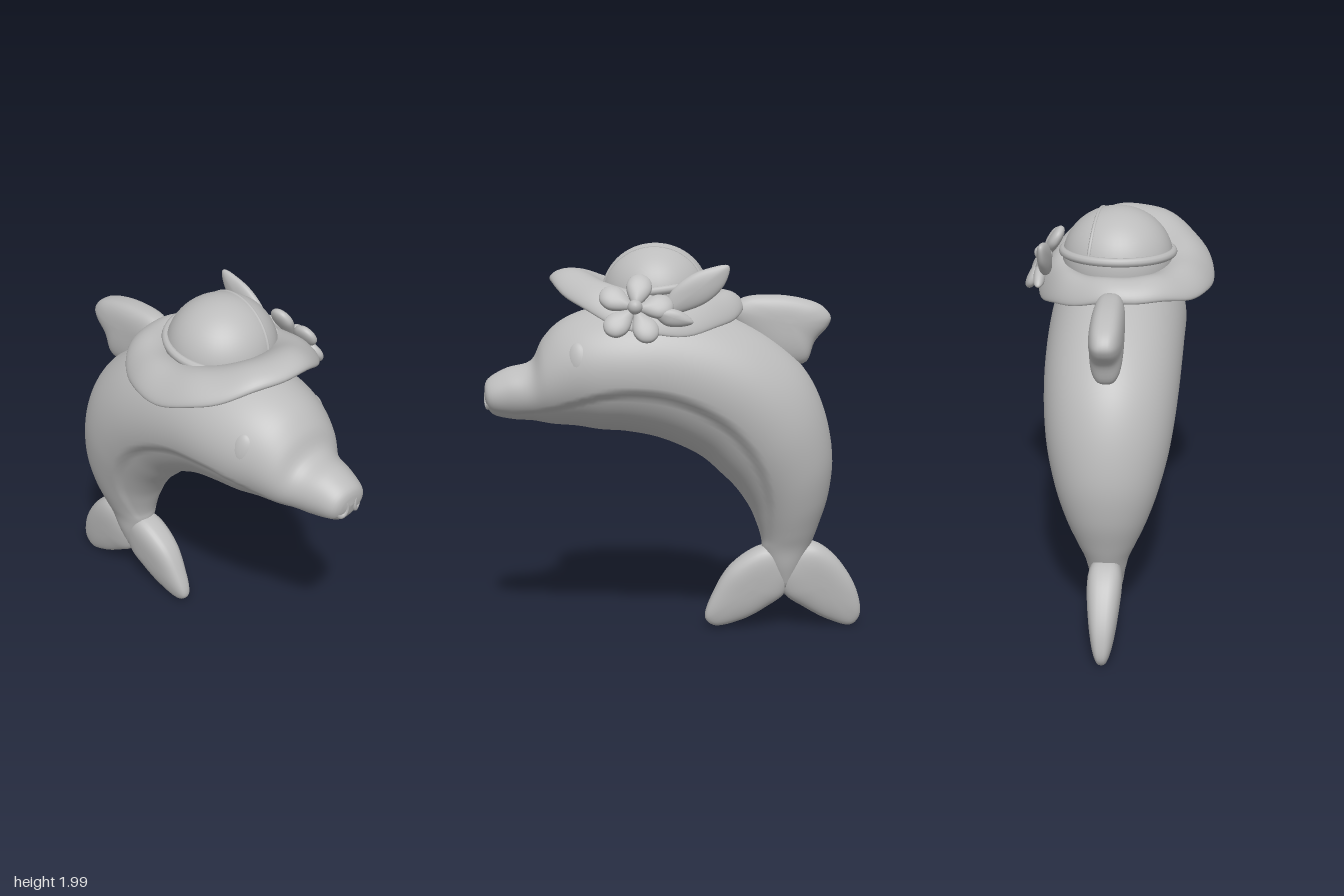
import * as THREE from 'three';

const V = (x, y, z) => new THREE.Vector3(x, y, z);
const skin = new THREE.MeshStandardMaterial({ color: 0xbcbcbc });
skin.name = 'plain grey';

// Smooth closed surface from rings of points; faces are turned outward by its volume
function rings(rows, cols, point, closeRows = false) {
  const pos = [], idx = [];
  for (let i = 0; i < rows; i++)
    for (let j = 0; j < cols; j++) pos.push(...point(i / (closeRows ? rows : rows - 1), j / cols).toArray());
  const last = closeRows ? rows : rows - 1;
  for (let i = 0; i < last; i++)
    for (let j = 0; j < cols; j++) {
      const k = (j + 1) % cols, n = (i + 1) % rows;
      const a = i * cols + j, b = i * cols + k, c = n * cols + j, d = n * cols + k;
      idx.push(a, b, c, b, d, c);
    }
  let volume = 0;
  const p = (i) => V(pos[3 * i], pos[3 * i + 1], pos[3 * i + 2]);
  for (let i = 0; i < idx.length; i += 3) volume += p(idx[i]).dot(p(idx[i + 1]).cross(p(idx[i + 2])));
  if (volume < 0) idx.reverse();
  const g = new THREE.BufferGeometry();
  g.setAttribute('position', new THREE.Float32BufferAttribute(pos, 3));
  g.setIndex(idx);
  g.computeVertexNormals();
  return g;
}

// Puffed shape from a [z, y] outline, with half thickness along x
function pillow(outline, thick, power = 0.7) {
  const curve = new THREE.CatmullRomCurve3(outline.map(([z, y]) => V(0, y, z)), true);
  const edge = curve.getPoints(64);
  const mid = edge.slice(0, 64).reduce((s, q) => s.add(q), V(0, 0, 0)).divideScalar(64);
  return rings(21, 64, (u, v) => {
    const c = Math.cos(u * Math.PI), s = Math.max(0, Math.sin(u * Math.PI));
    const q = mid.clone().lerp(edge[Math.round(v * 64)], Math.pow(s, power));
    const t = typeof thick === 'function' ? thick(q.y) : thick;
    q.x = Math.sign(c) * Math.pow(Math.abs(c), power) * t;
    return q;
  });
}

export function createModel() {
  const model = new THREE.Group();
  model.name = 'dolphinWithHat';
  const add = (name, geometry, parent = model) => {
    const m = new THREE.Mesh(geometry, skin);
    m.name = name;
    parent.add(m);
    return m;
  };

  // Body: back z, y, belly z, y, half width, height of the belly crease (-1 to 1)
  const sections = [
    [0.966, 1.26, 0.96, 1.20, 0.05, -0.5], [0.945, 1.32, 0.92, 1.14, 0.11, -0.55],
    [0.85, 1.375, 0.82, 1.115, 0.145, -0.6], [0.73, 1.41, 0.72, 1.108, 0.18, -0.55],
    [0.67, 1.52, 0.62, 1.09, 0.235, -0.5], [0.58, 1.61, 0.5, 1.08, 0.28, -0.42],
    [0.44, 1.67, 0.38, 1.06, 0.32, -0.3], [0.25, 1.70, 0.25, 1.05, 0.34, -0.25],
    [0.0, 1.70, 0.1, 1.02, 0.34, -0.25], [-0.25, 1.64, -0.03, 0.97, 0.337, -0.28],
    [-0.47, 1.53, -0.14, 0.91, 0.33, -0.33], [-0.65, 1.37, -0.23, 0.83, 0.315, -0.38],
    [-0.755, 1.17, -0.31, 0.75, 0.29, -0.45], [-0.805, 0.93, -0.38, 0.65, 0.245, -0.55],
    [-0.79, 0.72, -0.42, 0.56, 0.195, -0.65], [-0.74, 0.55, -0.445, 0.48, 0.145, -0.75],
    [-0.70, 0.44, -0.45, 0.42, 0.11, -0.85], [-0.66, 0.34, -0.48, 0.32, 0.085, -0.9],
    [-0.6, 0.2, -0.54, 0.2, 0.04, -0.9],
  ];
  const spline = (f) => new THREE.CatmullRomCurve3(sections.map(f), false, 'catmullrom');
  const back = spline((s) => V(0, s[1], s[0]));
  const belly = spline((s) => V(0, s[3], s[2]));
  const girth = spline((s) => V(s[4], s[5], 0));
  const rows = 91;
  add('body', rings(rows, 96, (u, v) => {
    const row = Math.round(u * (rows - 1));
    const end = row === 0 || row === rows - 1 ? 0 : 1;
    const T = back.getPoint(u), B = belly.getPoint(u), g = girth.getPoint(u);
    const c = Math.cos(v * Math.PI * 2), s = Math.sin(v * Math.PI * 2);
    const inset = 1 - 0.09 * THREE.MathUtils.smoothstep(g.y - c, 0, 0.12);
    const q = T.clone().add(B).multiplyScalar(0.5).addScaledVector(T.sub(B), 0.5 * c * end);
    q.x = g.x * s * inset * end;
    return q;
  }));

  // Fins
  add('dorsalFin', pillow([[-0.27, 1.66], [-0.34, 1.72], [-0.5, 1.735], [-0.65, 1.715], [-0.75, 1.675],
    [-0.79, 1.62], [-0.775, 1.575], [-0.71, 1.5], [-0.66, 1.39], [-0.5, 1.4], [-0.35, 1.53]], 0.08));
  const flukeThickness = (y) => 0.045 + 0.13 * y;
  add('frontFluke', pillow([[-0.45, 0.44], [-0.29, 0.34], [-0.2, 0.2], [-0.155, 0.06], [-0.2, 0.02],
    [-0.35, 0.05], [-0.48, 0.12], [-0.57, 0.19], [-0.6, 0.32], [-0.55, 0.43]], flukeThickness));
  add('rearFluke', pillow([[-0.70, 0.46], [-0.8, 0.41], [-0.9, 0.29], [-0.955, 0.17], [-0.965, 0.06],
    [-0.92, 0.01], [-0.8, 0.04], [-0.67, 0.11], [-0.56, 0.19], [-0.53, 0.32], [-0.6, 0.43]], flukeThickness));

  // Face
  for (const [side, name] of [[1, 'left'], [-1, 'right']]) {
    const eye = add(name + 'Eye', new THREE.SphereGeometry(1, 24, 16));
    eye.scale.set(0.03, 0.085, 0.056);
    eye.position.set(side * 0.258, 1.44, 0.495);
    eye.rotation.set(0.1, -side * 0.35, side * 0.22);
    const nostril = add(name + 'Nostril', new THREE.TorusGeometry(0.03, 0.012, 8, 24));
    nostril.scale.set(0.9, 1.35, 1);
    nostril.position.set(side * 0.05, 1.225, 0.945);
    nostril.rotation.y = side * 0.35;
  }

  // Hat
  const hat = new THREE.Group();
  hat.name = 'sunHat';
  model.add(hat);
  add('brim', rings(72, 40, (u, v) => {
    const a = u * Math.PI * 2, b = v * Math.PI * 2, sa = Math.sin(a), ca = Math.cos(a);
    const r = 0.5 - 0.5 * Math.cos(b);                     // 0 at the crown, 1 at the rim
    const inner = V(0.25 * sa, 1.745 + 0.04 * ca, 0.1 + 0.25 * ca);
    const outer = V(-0.04 + 0.44 * sa, 1.68 + 0.07 * ca + 0.07 * Math.cos(2 * a) - 0.03 * sa, 0.14 + 0.49 * ca);
    const q = inner.lerp(outer, r);
    q.y += Math.sin(b) * (0.022 + 0.028 * r) + 0.03 * Math.sin(Math.PI * r) + 0.005 * r * Math.sin(9 * a);
    return q;
  }, true), hat);
  const crown = add('crown', new THREE.SphereGeometry(1, 48, 32), hat);
  crown.scale.set(0.275, 0.255, 0.27);
  crown.position.set(0, 1.742, 0.1);
  const band = add('crownBand', new THREE.TorusGeometry(0.272, 0.022, 10, 56), hat);
  band.position.set(0, 1.775, 0.105);
  band.rotation.x = Math.PI / 2 + 0.12;
  // Seam running over the crown
  const seam = [];
  for (let i = 0; i <= 16; i++) {
    const t = 0.2 + (i / 16) * (Math.PI - 0.4), x = 0.13 - 0.08 * i / 16;
    const k = Math.sqrt(1 - (x / 0.275) ** 2);
    seam.push(V(x, 1.74 + 0.255 * k * Math.sin(t), 0.1 - 0.27 * k * Math.cos(t)));
  }
  add('crownSeam', new THREE.TubeGeometry(new THREE.CatmullRomCurve3(seam), 40, 0.009, 8), hat);

  // Flower, tilted up on the left side of the brim
  const flower = new THREE.Group();
  flower.name = 'flower';
  flower.position.set(0.378, 1.695, 0.222);
  flower.rotation.z = 0.52;
  hat.add(flower);
  const petal = pillow([[0, 0.01], [0.035, 0.05], [0.062, 0.115], [0.045, 0.168], [0, 0.188],
    [-0.045, 0.168], [-0.062, 0.115], [-0.035, 0.05]], 0.03, 0.85);
  for (let i = 0; i < 5; i++) {
    const p = add('petal', petal, flower);
    p.rotation.x = -0.2 + (i * Math.PI * 2) / 5;
  }
  const heart = add('flowerCentre', new THREE.SphereGeometry(0.036, 20, 14), flower);
  heart.position.x = 0.025;

  // Leaves behind the flower
  const bigLeaf = add('bigLeaf', pillow([[0.08, 1.67], [0.05, 1.77], [-0.04, 1.85], [-0.14, 1.89], [-0.235, 1.9],
    [-0.22, 1.82], [-0.15, 1.74], [-0.05, 1.69]], 0.03, 0.9), hat);
  bigLeaf.position.x = 0.345;
  const smallLeaf = add('smallLeaf', pillow([[0.14, 1.69], [0.06, 1.7], [-0.01, 1.68], [-0.06, 1.63],
    [0, 1.61], [0.08, 1.62]], 0.03, 0.9), hat);
  smallLeaf.position.x = 0.385;
  return model;
}
